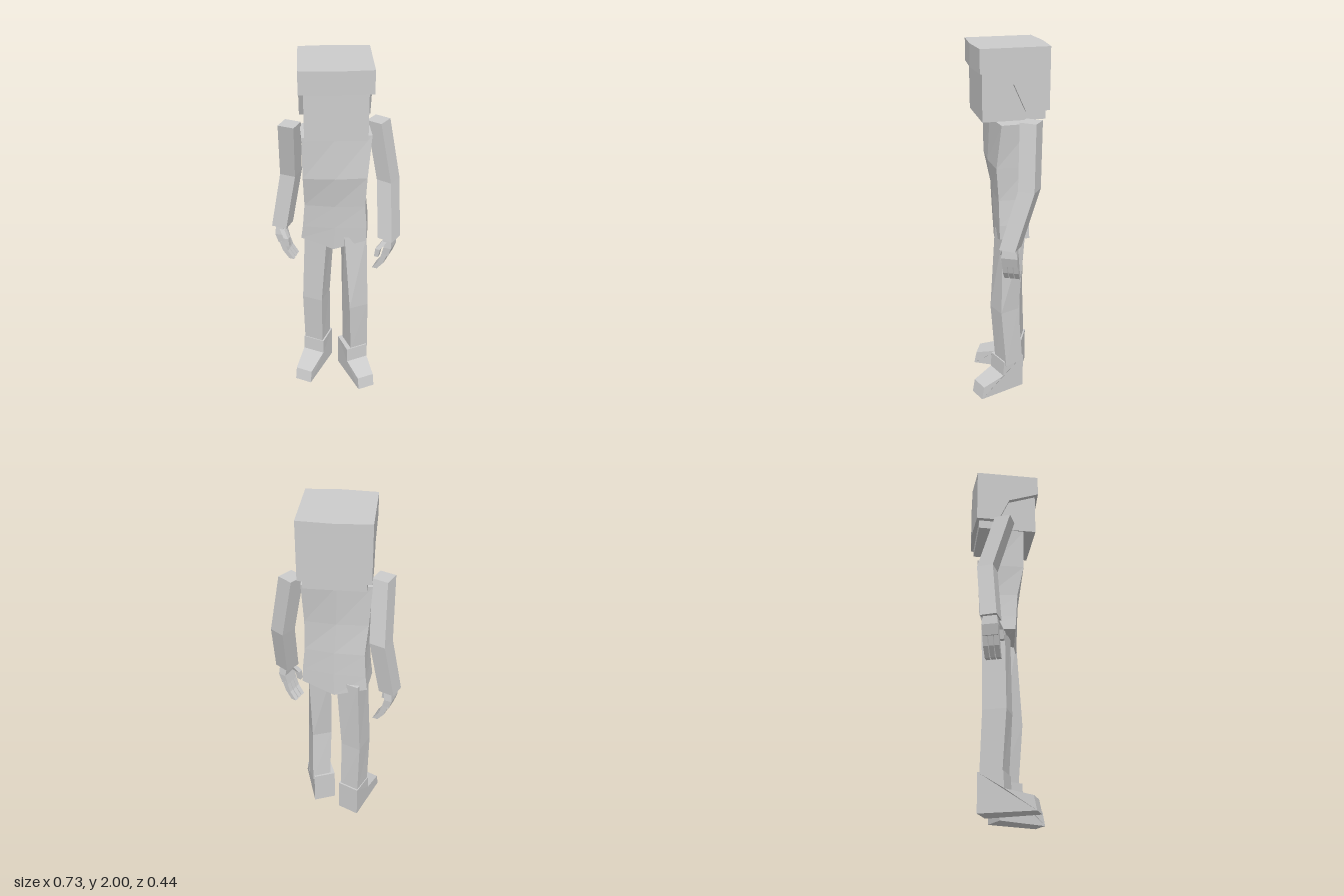
import * as THREE from 'three';

const material = new THREE.MeshStandardMaterial({ color: 0xcccccc, flatShading: true });

// Four-cornered horizontal cross-section, turned by a number of degrees about y
function ring(x, y, z, halfW, halfD, deg = 0) {
  const a = THREE.MathUtils.degToRad(deg), c = Math.cos(a), s = Math.sin(a);
  return [[-1, 1], [1, 1], [1, -1], [-1, -1]].map(([u, v]) =>
    [x + u * halfW * c + v * halfD * s, y, z - u * halfW * s + v * halfD * c]);
}

// Solid skinned through a list of equal-sized cross-sections, closed by fans
function loft(name, sections) {
  const pos = [];
  const tri = (a, b, c) => pos.push(...a, ...b, ...c);
  const n = sections[0].length;
  for (let k = 0; k < sections.length - 1; k++) {
    const a = sections[k], b = sections[k + 1];
    for (let i = 0; i < n; i++) {
      const j = (i + 1) % n;
      tri(a[i], a[j], b[j]);
      tri(a[i], b[j], b[i]);
    }
  }
  const first = sections[0], last = sections[sections.length - 1];
  for (let i = 1; i < n - 1; i++) {
    tri(first[0], first[i + 1], first[i]);
    tri(last[0], last[i], last[i + 1]);
  }
  const geo = new THREE.BufferGeometry();
  geo.setAttribute('position', new THREE.Float32BufferAttribute(pos, 3));
  geo.computeVertexNormals();
  const mesh = new THREE.Mesh(geo, material);
  mesh.name = name;
  return mesh;
}

// Head block with a cap of hair that is short in front and long at the back
function makeHead() {
  const head = new THREE.Group();
  head.name = 'head';
  const skull = new THREE.Mesh(new THREE.BoxGeometry(0.32, 0.3, 0.33), material);
  skull.name = 'skull';
  skull.position.y = 1.78;
  const profile = [[-0.18, 2], [0.18, 2], [0.18, 1.88], [0.008, 1.82], [-0.055, 1.68], [-0.18, 1.68]];
  const slices = [[-0.185, 1], [0, 1.07], [0.185, 1]];
  const hair = loft('hair', slices.map(([x, bulge]) => profile.map(([z, y]) => [x, y, z * bulge])));
  head.add(skull, hair);
  head.rotation.y = THREE.MathUtils.degToRad(15);
  return head;
}

// Torso twists towards the shoulders; its lower edge dips in the middle
function makeTorso() {
  const rows = [ // y, centre x, centre z, half width, half depth, turn, dip
    [0.98, -0.005, -0.02, 0.182, 0.08, 8.5, 0.06],
    [1.06, 0, -0.017, 0.176, 0.08, 9, 0],
    [1.2, 0, -0.012, 0.164, 0.08, 10, 0],
    [1.38, 0, 0.005, 0.17, 0.088, 14, 0],
    [1.615, 0, -0.008, 0.182, 0.09, 18, 0],
  ];
  return loft('torso', rows.map(([y, x, z, w, d, deg, dip]) => {
    const [fr, fl, bl, br] = ring(x, y, z, w, d, deg);
    const a = THREE.MathUtils.degToRad(deg);
    const mid = (p, q, out) => [
      (p[0] + q[0]) / 2 + out * Math.sin(a), y - dip, (p[2] + q[2]) / 2 + out * Math.cos(a)];
    return [fr, mid(fr, fl, 0.012), fl, bl, mid(bl, br, -0.012), br];
  }));
}

// Hand hanging from the wrist with fingers curling inwards; s is the side
function makeHand(s) {
  const hand = new THREE.Group();
  hand.name = s > 0 ? 'leftHand' : 'rightHand';
  const part = (name, rows) => hand.add(loft(name, rows.map(([x, y, z, w, d]) => ring(s * x, y, z, w, d))));
  part('palm', [[-0.008, -0.105, 0, 0.02, 0.042], [0.008, -0.05, 0, 0.022, 0.044], [0, 0.02, 0, 0.024, 0.034]]);
  for (const z of [-0.03, 0, 0.03]) {
    part('finger', [[-0.065, -0.205, z, 0.015, 0.012], [-0.028, -0.155, z, 0.016, 0.013], [-0.008, -0.095, z, 0.016, 0.013]]);
  }
  part('thumb', [[-0.05, -0.11, 0.05, 0.012, 0.012], [-0.042, -0.06, 0.048, 0.014, 0.014], [-0.012, -0.015, 0.028, 0.014, 0.014]]);
  return hand;
}

// Boot with an upright shaft and a sloping toe that narrows forwards
function makeBoot(name, x, z, deg, length) {
  const profile = [[0, 0], [length, 0], [length - 0.015, 0.075], [0.14, 0.115], [0.135, 0.205], [0, 0.205]];
  const shape = new THREE.Shape(profile.map(([u, v]) => new THREE.Vector2(-u, v)));
  const geo = new THREE.ExtrudeGeometry(shape, { depth: 0.13, bevelEnabled: false });
  geo.translate(0, 0, -0.065);
  geo.rotateY(Math.PI / 2);
  const p = geo.attributes.position;
  for (let i = 0; i < p.count; i++) {
    if (p.getZ(i) > 0.15) p.setX(i, p.getX(i) * 0.77);
  }
  geo.computeVertexNormals();
  const boot = new THREE.Mesh(geo, material);
  boot.name = name;
  boot.position.set(x, 0, z);
  boot.rotation.y = THREE.MathUtils.degToRad(deg);
  return boot;
}

export function createModel() {
  const model = new THREE.Group();
  model.name = 'blockFigure';
  model.add(makeHead(), makeTorso());

  // Arms: wrist, elbow and shoulder centres
  const arms = [
    { s: 1, name: 'leftArm', deg: -22, joints: [[0.3025, 0.985, -0.025], [0.27, 1.3, -0.122], [0.205, 1.64, -0.128]] },
    { s: -1, name: 'rightArm', deg: -9.5, joints: [[-0.315, 0.985, -0.028], [-0.262, 1.31, -0.057], [-0.235, 1.642, 0.035]] },
  ];
  for (const { s, name, deg, joints } of arms) {
    model.add(loft(name, joints.map(([x, y, z]) => ring(x, y, z, 0.045, 0.045, deg))));
    const hand = makeHand(s);
    hand.position.set(...joints[0]);
    hand.rotation.y = THREE.MathUtils.degToRad(deg / 2);
    model.add(hand);
  }

  // Legs: ankle, knee and hip sections
  model.add(loft('leftLeg', [
    ring(0.122, 0.18, -0.015, 0.055, 0.058, 37),
    ring(0.122, 0.53, 0.01, 0.057, 0.058, 35),
    ring(0.102, 1.0, -0.02, 0.062, 0.065, 22),
  ]));
  model.add(loft('rightLeg', [
    ring(-0.117, 0.18, -0.033, 0.058, 0.06, -10),
    ring(-0.118, 0.53, -0.018, 0.06, 0.065, -8),
    ring(-0.095, 1.0, -0.03, 0.066, 0.065, -6),
  ]));
  model.add(makeBoot('leftBoot', 0.068, -0.06, 36, 0.28));
  model.add(makeBoot('rightBoot', -0.103, -0.1, -10, 0.3));
  return model;
}
